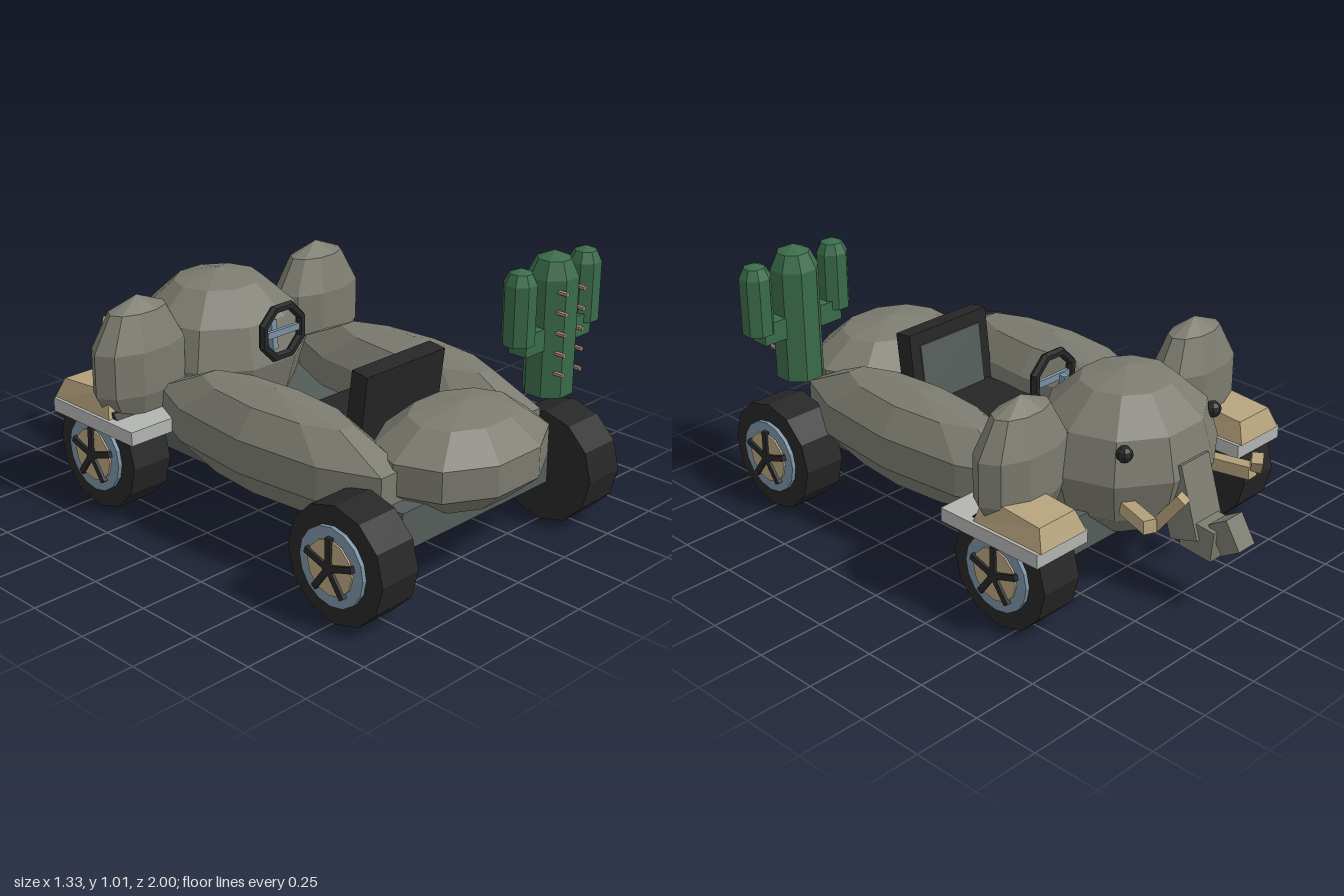
import * as THREE from 'three';

const mat = (name, color) => {
  const m = new THREE.MeshStandardMaterial({ color, flatShading: true });
  m.name = name;
  return m;
};

export function createModel() {
  const hide = mat('grey hide', 0x7b7b70), chassisGrey = mat('chassis grey', 0x545c5a);
  const black = mat('black rubber', 0x262626), ivory = mat('ivory', 0xb5a27c);
  const blue = mat('rim blue', 0x7890a2), plate = mat('light grey plate', 0xb2b4b2);
  const green = mat('cactus green', 0x3a6b49), thornMat = mat('thorn brown', 0xa88672);

  const model = new THREE.Group();
  const car = new THREE.Group();
  car.name = 'car';
  car.position.x = -0.022;
  model.add(car);

  const add = (parent, name, geo, m, x, y, z) => {
    const mesh = new THREE.Mesh(geo, m);
    mesh.name = name;
    mesh.position.set(x, y, z);
    parent.add(mesh);
    return mesh;
  };
  const box = (parent, name, m, w, h, d, x, y, z) => add(parent, name, new THREE.BoxGeometry(w, h, d), m, x, y, z);
  const blob = (name, rx, ry, rz, x, y, z, rows = 5) =>
    add(car, name, new THREE.SphereGeometry(1, 10, rows).scale(rx, ry, rz), hide, x, y, z);
  // square bar between two points
  const bar = (parent, name, m, a, b, t) => {
    const p = new THREE.Vector3(...a), q = new THREE.Vector3(...b);
    const mid = p.clone().add(q).multiplyScalar(0.5);
    const mesh = box(parent, name, m, t, t, p.distanceTo(q), mid.x, mid.y, mid.z);
    mesh.lookAt(q);
    return mesh;
  };

  // Body
  box(car, 'chassis', chassisGrey, 0.75, 0.14, 1.36, 0, 0.265, 0.15);
  blob('rump', 0.355, 0.18, 0.275, 0, 0.415, 0.75);
  blob('head', 0.34, 0.30, 0.322, 0, 0.47, -0.455, 6);

  // Wheel with its outer face towards +x
  const makeWheel = () => {
    const wheel = new THREE.Group();
    wheel.name = 'wheel';
    const disc = (name, m, r, x0, x1, n) =>
      add(wheel, name, new THREE.CylinderGeometry(r, r, x1 - x0, n).rotateX(Math.PI).rotateZ(Math.PI / 2), m, (x0 + x1) / 2, 0, 0);
    disc('tyre', black, 0.21, -0.083, 0.082, 12).rotation.x = Math.PI / 2;
    disc('rim', blue, 0.14, 0.06, 0.097, 16);
    disc('hubDisc', ivory, 0.098, 0.08, 0.104, 12);
    disc('hubCap', black, 0.025, 0.1, 0.114, 8);
    for (let i = 0; i < 5; i++) {
      const spoke = new THREE.Group();
      spoke.name = 'spoke';
      spoke.rotation.x = i * Math.PI * 2 / 5;
      box(spoke, 'spokeBar', black, 0.02, 0.105, 0.022, 0.104, 0.055, 0);
      wheel.add(spoke);
    }
    return wheel;
  };

  for (const s of [1, -1]) {
    for (const z of [0.755, -0.44]) {
      const wheel = makeWheel();
      wheel.position.set(s * 0.528, 0.21, z);
      if (s < 0) wheel.scale.x = -1;
      car.add(wheel);
    }
    blob('sideBody', 0.187, 0.195, 0.6, s * 0.35, 0.385, 0.22);
    blob('ear', 0.208, 0.26, 0.116, s * 0.447, 0.53, -0.385);

    // Front mudguard with a tapered toenail block on top
    box(car, 'mudguard', plate, 0.24, 0.052, 0.445, s * 0.521, 0.348, -0.422);
    const nail = new THREE.BoxGeometry(0.215, 0.09, 0.31);
    const p = nail.attributes.position;
    for (let i = 0; i < p.count; i++) {
      if (p.getY(i) > 0) p.setXYZ(i, p.getX(i) * 0.78, p.getZ(i) > 0 ? 0.05 : 0.03, p.getZ(i) * 0.8);
    }
    nail.computeVertexNormals();
    add(car, 'toenail', nail, ivory, s * 0.521, 0.418, -0.495);

    add(car, 'eye', new THREE.SphereGeometry(0.03, 8, 6), black, s * 0.233, 0.585, -0.65);
    bar(car, 'tuskBase', ivory, [s * 0.215, 0.375, -0.6], [s * 0.268, 0.4, -0.82], 0.048);
    bar(car, 'tuskTip', ivory, [s * 0.265, 0.39, -0.805], [s * 0.2, 0.505, -0.89], 0.04);
  }

  // Trunk of three tilted blocks
  box(car, 'trunkTop', hide, 0.145, 0.27, 0.12, 0, 0.375, -0.745).rotation.x = 0.3;
  box(car, 'trunkMiddle', hide, 0.12, 0.115, 0.135, 0, 0.262, -0.83).rotation.x = -0.1;
  box(car, 'trunkTip', hide, 0.085, 0.115, 0.085, 0, 0.298, -0.93).rotation.x = 0.55;

  // Seat
  box(car, 'seatCushion', black, 0.36, 0.1, 0.33, 0, 0.335, 0.235);
  const back = new THREE.Group();
  back.name = 'seatBack';
  back.position.set(0, 0.5, 0.445);
  back.rotation.x = 0.12;
  box(back, 'backrest', black, 0.39, 0.32, 0.072, 0, 0, 0);
  box(back, 'backrestPanel', chassisGrey, 0.3, 0.24, 0.008, 0, -0.01, -0.038);
  car.add(back);

  // Steering wheel
  const steering = new THREE.Group();
  steering.name = 'steeringWheel';
  steering.position.set(0, 0.605, -0.11);
  add(steering, 'steeringRing', new THREE.TorusGeometry(0.1, 0.018, 6, 8).rotateZ(Math.PI / 8), black, 0, 0, 0);
  box(steering, 'steeringBar', blue, 0.18, 0.025, 0.015, 0, 0, 0);
  bar(steering, 'steeringColumn', blue, [0, 0, 0], [0, -0.05, -0.1], 0.025);
  car.add(steering);

  // Cactus
  const cactus = new THREE.Group();
  cactus.name = 'cactus';
  cactus.position.set(0.431, 0, 0.752);
  const stem = (name, r, y0, y1, top, x) => {
    const profile = [[0, y0], [r, y0], [r, y1], [r * 0.68, y1 + (top - y1) * 0.7], [0, top]];
    const geo = new THREE.LatheGeometry(profile.map(q => new THREE.Vector2(...q)), 8).rotateY(Math.PI / 8);
    add(cactus, name, geo, green, x, 0, 0);
  };
  stem('cactusStem', 0.09, 0.5, 0.925, 1.012, 0);
  for (const s of [1, -1]) {
    stem('cactusArm', 0.059, 0.72, 0.935, 0.988, s * 0.178);
    box(cactus, 'cactusElbow', green, 0.178, 0.08, 0.075, s * 0.089, 0.715, 0);
    for (let i = 0; i < 5; i++) {
      add(cactus, 'thorn', new THREE.CylinderGeometry(0.009, 0.009, 0.05, 6).rotateX(Math.PI / 2), thornMat,
        s * 0.048, 0.592 + i * 0.0735, 0.076);
    }
  }
  model.add(cactus);

  return model;
}
